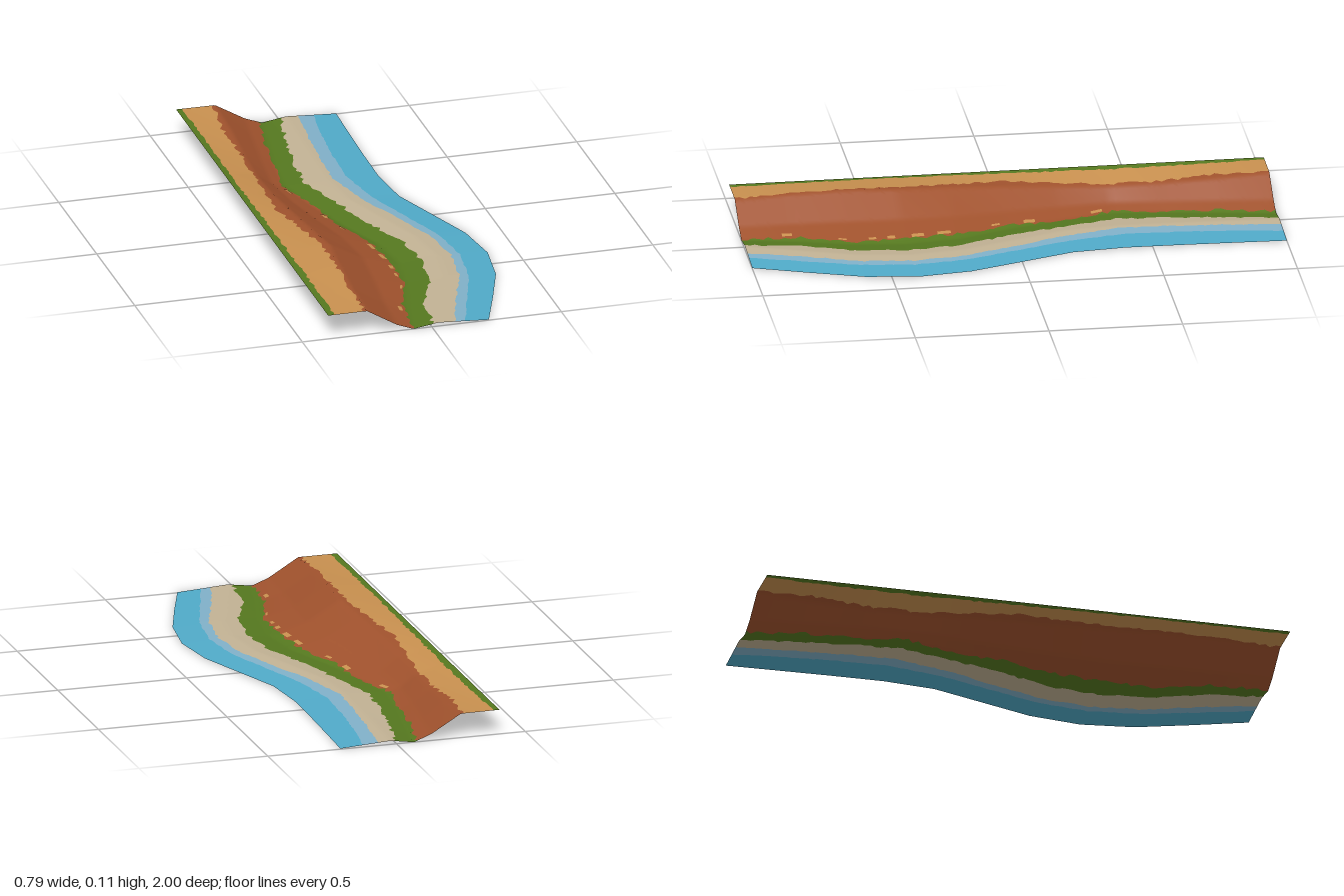
import * as THREE from 'three';

// Stations run from back (z = -1) to front (z = 1), every 0.2
const crestX = [-.25, -.25, -.26, -.267, -.267, -.255, -.24, -.222, -.24, -.25, -.25];
const crestY = [.094, .082, .07, .065, .075, .09, .103, .114, .114, .105, .095];
const kneeX = [-.135, -.16, -.185, -.205, -.18, -.145, -.105, -.09, -.105, -.125, -.135];
const kneeY = [.026, .024, .022, .02, .023, .029, .036, .04, .036, .03, .026];
const footX = [-.068, -.1, -.135, -.155, -.11, -.05, .025, .05, .025, -.03, -.07];
const shoreX = [.218, .212, .207, .205, .225, .295, .365, .392, .365, .295, .22];

// Limits of the colour bands, from the land edge to the water edge
const limits = [
  Array(11).fill(-.4),
  Array(11).fill(-.375),
  [-.26, -.28, -.272, -.28, -.29, -.305, -.27, -.25, -.25, -.257, -.258],
  [-.08, -.115, -.14, -.165, -.1, -.07, -.005, .02, .015, -.055, -.07],
  [.005, -.035, -.065, -.08, -.02, .03, .11, .135, .11, .03, .005],
  [.07, .05, .035, .03, .075, .15, .225, .25, .225, .15, .09],
  [.13, .105, .09, .085, .125, .19, .26, .285, .26, .195, .13],
  shoreX,
];
const ragged = [0, .005, .01, .009, .01, .005, .003, 0];

function along(list, z) {
  const t = THREE.MathUtils.clamp((z + 1) * 5, 0, 10);
  const i = Math.min(9, Math.floor(t));
  return list[i] + (list[i + 1] - list[i]) * (t - i);
}

// Cross-section: plateau, crest, cliff knee, foot, beach berm, water edge
function height(x, z) {
  const shore = along(shoreX, z);
  const p = [
    [-.4, .095], [along(crestX, z), along(crestY, z)], [along(kneeX, z), along(kneeY, z)],
    [along(footX, z), .001], [shore - .195, .015], [shore, .003],
  ];
  let i = 0;
  while (i < 4 && x > p[i + 1][0]) i++;
  const t = (x - p[i][0]) / (p[i + 1][0] - p[i][0]);
  return p[i][1] + (p[i + 1][1] - p[i][1]) * t;
}

function seeded(seed) {
  return () => {
    seed = (seed * 16807) % 2147483647;
    return seed / 2147483647;
  };
}

// Strip of ground between two x limits given as functions of the row
function strip(xa, xb, z0, z1, rows, cols, lift = 0) {
  const pos = [], nor = [], idx = [];
  const e = .012, n = new THREE.Vector3();
  for (let r = 0; r <= rows; r++) {
    const z = z0 + (z1 - z0) * r / rows;
    for (let c = 0; c <= cols; c++) {
      const x = xa(r, z) + (xb(r, z) - xa(r, z)) * c / cols;
      pos.push(x, height(x, z) + lift, z);
      n.set((height(x - e, z) - height(x + e, z)) / (2 * e), 1,
        (height(x, z - e) - height(x, z + e)) / (2 * e)).normalize();
      nor.push(n.x, n.y, n.z);
      if (r < rows && c < cols) {
        const a = r * (cols + 1) + c, b = a + cols + 1;
        idx.push(a, b, a + 1, b, b + 1, a + 1);
      }
    }
  }
  const g = new THREE.BufferGeometry();
  g.setAttribute('position', new THREE.Float32BufferAttribute(pos, 3));
  g.setAttribute('normal', new THREE.Float32BufferAttribute(nor, 3));
  g.setIndex(idx);
  return g;
}

export function createModel() {
  const group = new THREE.Group();
  group.name = 'coastStrip';
  const mat = (name, color) => {
    const m = new THREE.MeshStandardMaterial({ color, side: THREE.DoubleSide });
    m.name = name;
    return m;
  };
  const ochre = mat('ochre', 0xc8904f);
  const brown = mat('brown', 0xa0522d);
  const green = mat('green', 0x55781f);
  const sand = mat('sand', 0xc2b294);
  const paleBlue = mat('paleBlue', 0x80b0c8);
  const blue = mat('blue', 0x50aac8);
  const add = (name, geometry, material) => {
    const mesh = new THREE.Mesh(geometry, material);
    mesh.name = name;
    group.add(mesh);
  };

  // Ragged band limits, shared by neighbouring bands
  const rows = 100;
  const rnd = seeded(4711);
  const edges = limits.map((list, k) => {
    const noise = Array.from({ length: rows + 1 }, () => (rnd() - .5) * 2 * ragged[k]);
    return (r, z) => along(list, z) + noise[r];
  });
  const bands = [
    ['plateauGrass', green], ['plateauEarth', ochre], ['cliff', brown], ['footGrass', green],
    ['beach', sand], ['shallows', paleBlue], ['water', blue],
  ];
  bands.forEach(([name, material], k) =>
    add(name, strip(edges[k], edges[k + 1], -1, 1, rows, k === 2 ? 24 : 10), material));

  // Small earth patches at the foot of the cliff
  for (const z of [-.34, -.08, .05, .25, .35, .45, .52, .63, .83]) {
    const w = .008 + rnd() * .012, l = .01 + rnd() * .016;
    const mid = (zz) => along(limits[3], zz) - .014;
    add('earthPatch', strip((r, zz) => mid(zz) - w / 2, (r, zz) => mid(zz) + w / 2,
      z - l, z + l, 2, 2, .0015), ochre);
  }
  return group;
}
